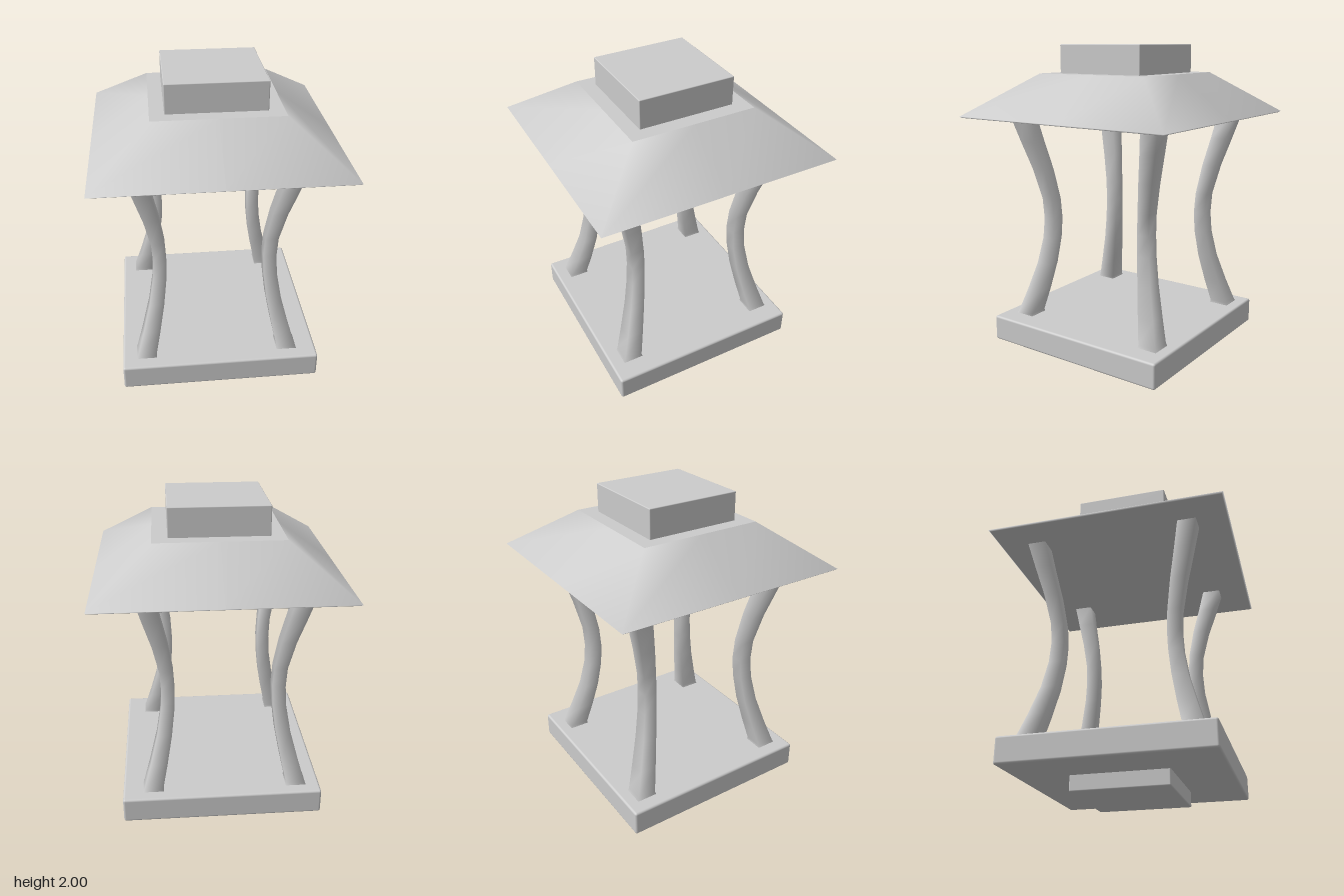
import * as THREE from 'three';
import { RoundedBoxGeometry } from 'three/addons/geometries/RoundedBoxGeometry.js';

const material = new THREE.MeshStandardMaterial({ color: 0xcccccc });

// Points around a unit square: corners, plus side midpoints when perSide is 2
function squarePoints(perSide) {
  const corners = [[1, -1], [1, 1], [-1, 1], [-1, -1]];
  const points = [];
  corners.forEach(([x, z], i) => {
    const [nx, nz] = corners[(i + 1) % 4];
    for (let k = 0; k < perSide; k++) {
      const t = k / perSide;
      points.push([x + (nx - x) * t, z + (nz - z) * t]);
    }
  });
  return points;
}

// Smooth-sided square loft through rings {x, y, z, half}, with crisp flat ends
function squareLoft(rings, perSide) {
  const outline = squarePoints(perSide);
  const n = outline.length;
  const positions = [];
  const indices = [];
  const addRing = (r) => outline.forEach(([px, pz]) =>
    positions.push(r.x + px * r.half, r.y, r.z + pz * r.half));
  rings.forEach(addRing);
  for (let i = 0; i < rings.length - 1; i++) {
    for (let j = 0; j < n; j++) {
      const k = (j + 1) % n;
      const a = i * n + j, b = i * n + k, c = a + n, d = b + n;
      indices.push(a, c, b, b, c, d);
    }
  }
  [rings[0], rings[rings.length - 1]].forEach((r, end) => {
    const start = positions.length / 3;
    addRing(r);
    for (let j = 1; j < n - 1; j++) {
      if (end) indices.push(start, start + j + 1, start + j);
      else indices.push(start, start + j, start + j + 1);
    }
  });
  const geometry = new THREE.BufferGeometry();
  geometry.setAttribute('position', new THREE.Float32BufferAttribute(positions, 3));
  geometry.setIndex(indices);
  geometry.computeVertexNormals();
  return geometry;
}

export function createModel() {
  const model = new THREE.Group();
  model.name = 'lantern';
  const add = (name, geometry, x = 0, y = 0, z = 0) => {
    const mesh = new THREE.Mesh(geometry, material);
    mesh.name = name;
    mesh.position.set(x, y, z);
    model.add(mesh);
  };
  // Softly bevelled square slab between two heights
  const slab = (name, width, bottom, top, bevel) => add(name,
    new RoundedBoxGeometry(width, top - bottom, width, 3, bevel), -0.003, (top + bottom) / 2, 0);

  slab('foot', 0.595, 0, 0.11, 0.008);
  slab('base', 1.245, 0.095, 0.257, 0.014);
  slab('cap', 0.59, 1.8, 2, 0.005);

  // Sloping roof with a thin lip at the eaves
  add('roof', squareLoft([
    { x: 0, y: 1.56, z: 0, half: 0.725 },
    { x: 0, y: 1.568, z: 0, half: 0.735 },
    { x: 0, y: 1.825, z: 0, half: 0.383 },
  ], 2));

  // Four square posts that bow inwards: height, distance from centre, half width
  const profile = [
    [0.245, 0.482, 0.068], [0.272, 0.478, 0.059], [0.42, 0.438, 0.053], [0.6, 0.395, 0.046],
    [0.77, 0.369, 0.042], [0.9, 0.362, 0.041], [1.03, 0.369, 0.041], [1.22, 0.404, 0.046],
    [1.4, 0.449, 0.052], [1.57, 0.489, 0.058],
  ];
  for (const sx of [-1, 1]) {
    for (const sz of [-1, 1]) {
      const rings = profile.map(([y, d, half]) =>
        ({ x: sx * d * 0.94 - 0.022, y, z: sz * d - 0.005, half }));
      add(`${sz > 0 ? 'front' : 'back'}${sx > 0 ? 'Left' : 'Right'}Post`, squareLoft(rings, 1));
    }
  }
  return model;
}
